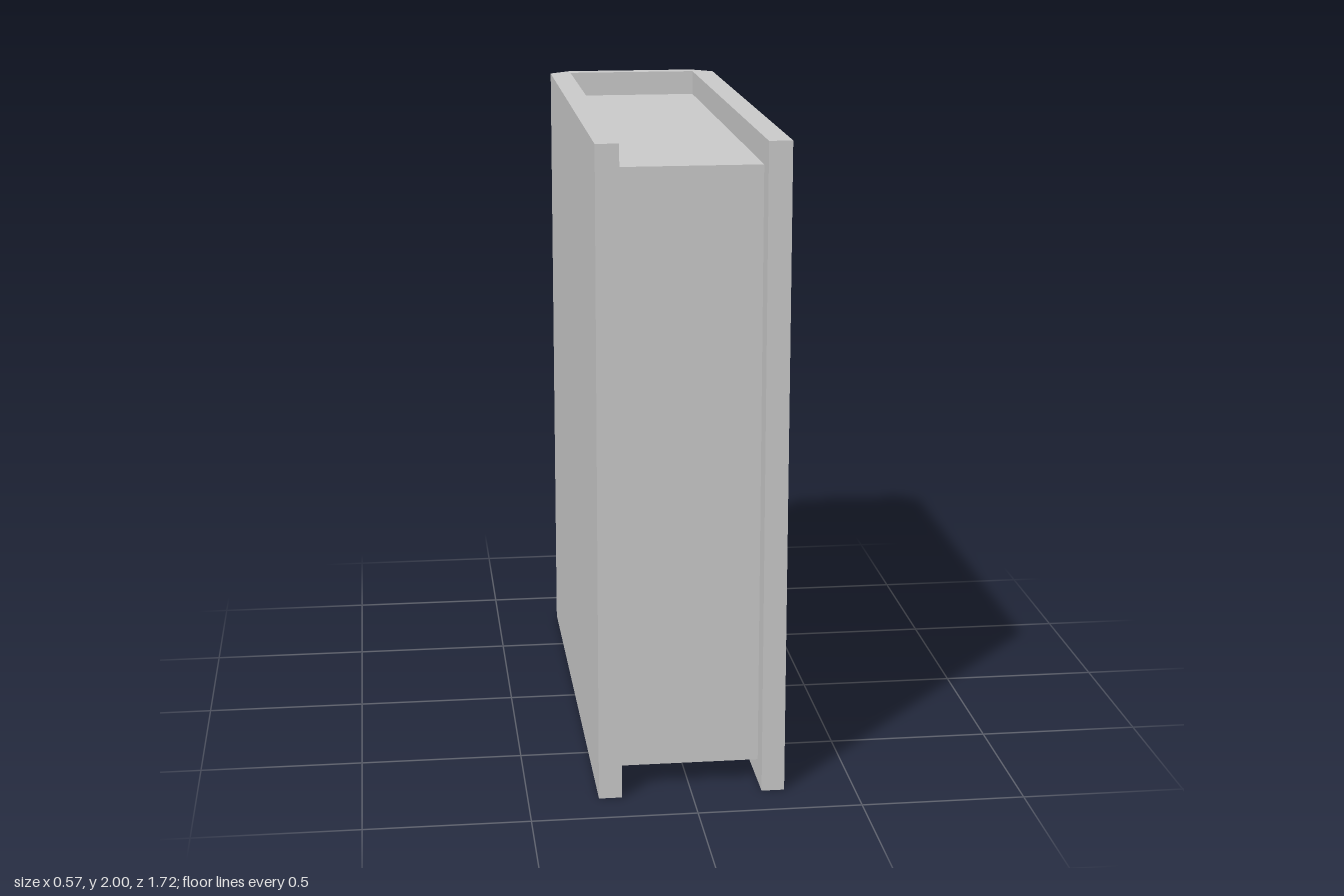
import * as THREE from 'three';
import { toCreasedNormals } from 'three/addons/utils/BufferGeometryUtils.js';

const HEIGHT = 2;
const HALF_W = 0.285, INNER_W = 0.215; // outer and inner half widths of the cover
const FRONT = 0.86, BACK = -0.86;
const SPINE_INNER = -0.81, CHAMFER = -0.8;

export function createModel() {
  const book = new THREE.Group();
  book.name = 'book';
  const material = new THREE.MeshStandardMaterial({ color: 0xcccccc });

  // Cover: U-shaped plan with a bevelled spine, extruded upwards
  const half = [
    [INNER_W, SPINE_INNER], [INNER_W, FRONT], [HALF_W, FRONT],
    [HALF_W, CHAMFER], [INNER_W, BACK],
  ];
  const mirrored = half.map(([x, z]) => [-x, z]).reverse();
  const plan = new THREE.Shape([...half, ...mirrored].map(([x, z]) => new THREE.Vector2(x, -z)));
  const coverGeometry = new THREE.ExtrudeGeometry(plan, { depth: HEIGHT, bevelEnabled: false });
  coverGeometry.rotateX(-Math.PI / 2);
  // Soft shading between spine and bevels, sharp elsewhere
  const cover = new THREE.Mesh(toCreasedNormals(coverGeometry, Math.PI / 4), material);
  cover.name = 'cover';
  book.add(cover);

  // Page block: recessed at the top, bottom and front
  const bottom = 0.07, top = 1.92, pageFront = 0.78;
  const pages = new THREE.Mesh(
    new THREE.BoxGeometry(INNER_W * 2, top - bottom, pageFront - SPINE_INNER), material);
  pages.position.set(0, (top + bottom) / 2, (pageFront + SPINE_INNER) / 2);
  pages.name = 'pages';
  book.add(pages);

  return book;
}
